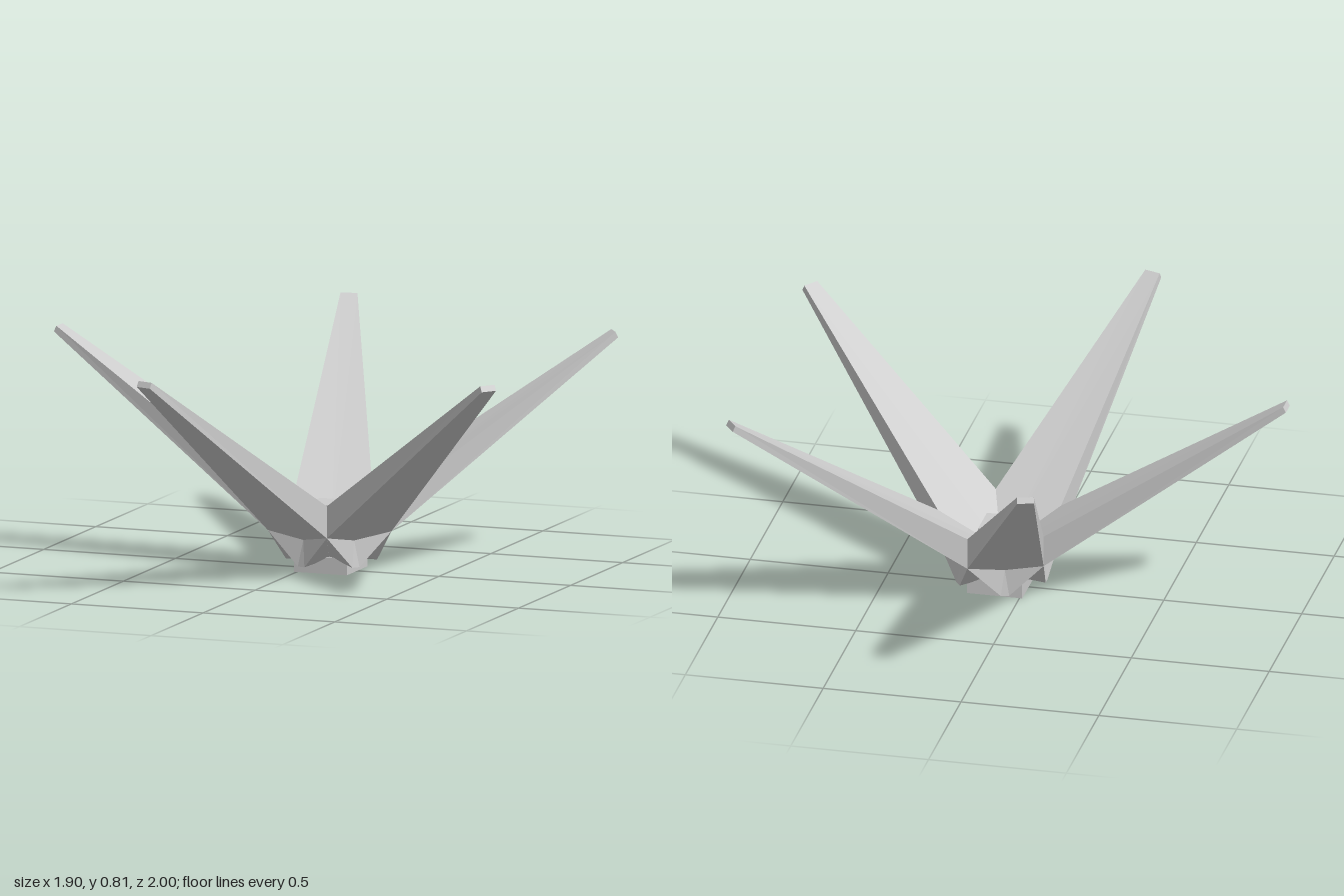
import * as THREE from 'three';

const CENTRE_X = 0.09;

// One fifth of the star, pointing along +x; n = -z side, p = +z side
function armGeometry() {
  const P = { centre: [0, 0.14, 0], base: [0, 0.04, 0], mid: [0.153, 0.125, 0] };
  const pair = (name, x, y, z) => {
    P[name + 'P'] = [x, y, z];
    P[name + 'N'] = [x, y, -z];
  };
  pair('valleyTop', 0.186, 0.265, 0.135);
  pair('valleyLow', 0.186, 0.15, 0.135);
  pair('tipTop', 1.03, 0.81, 0.03);
  pair('tipLow', 1.04, 0.79, 0.03);
  pair('foot', 0.165, 0.03, 0.015);
  pair('notch', 0.073, 0.06, 0.053);

  const faces = [
    'centre valleyTopP tipTopP tipTopN valleyTopN', // upper face
    'valleyLowP tipLowP tipTopP valleyTopP', // sides
    'valleyLowN valleyTopN tipTopN tipLowN',
    'tipLowN tipTopN tipTopP tipLowP', // end
    'mid valleyLowN tipLowN tipLowP valleyLowP', // underside
    'valleyLowP footP mid', // folds down to the foot
    'valleyLowN mid footN',
    'mid footP footN',
    'valleyLowP notchP footP', // recesses between feet
    'valleyLowN footN notchN',
    'base notchN footN footP notchP',
  ];
  const positions = [];
  for (const face of faces) {
    const pts = face.split(' ').map((k) => P[k]);
    for (let i = 1; i < pts.length - 1; i++) positions.push(...pts[0], ...pts[i], ...pts[i + 1]);
  }
  const g = new THREE.BufferGeometry();
  g.setAttribute('position', new THREE.Float32BufferAttribute(positions, 3));
  g.computeVertexNormals();
  return g;
}

export function createModel() {
  const model = new THREE.Group();
  model.name = 'fiveArmedStar';
  const material = new THREE.MeshStandardMaterial({
    color: 0xcccccc, flatShading: true, side: THREE.DoubleSide,
  });
  const add = (name, geometry, y) => {
    const mesh = new THREE.Mesh(geometry, material);
    mesh.name = name;
    mesh.position.set(CENTRE_X, y, 0);
    model.add(mesh);
    return mesh;
  };

  // Five rising arms, each with its small foot
  const arm = armGeometry();
  for (let i = 0; i < 5; i++) add('arm' + (i + 1), arm, 0).rotation.y = Math.PI + (i * 2 * Math.PI) / 5;

  // Square base and central block
  add('base', new THREE.BoxGeometry(0.2, 0.06, 0.2), 0.03);
  add('centreBlock', new THREE.BoxGeometry(0.135, 0.18, 0.135), 0.15);
  return model;
}
